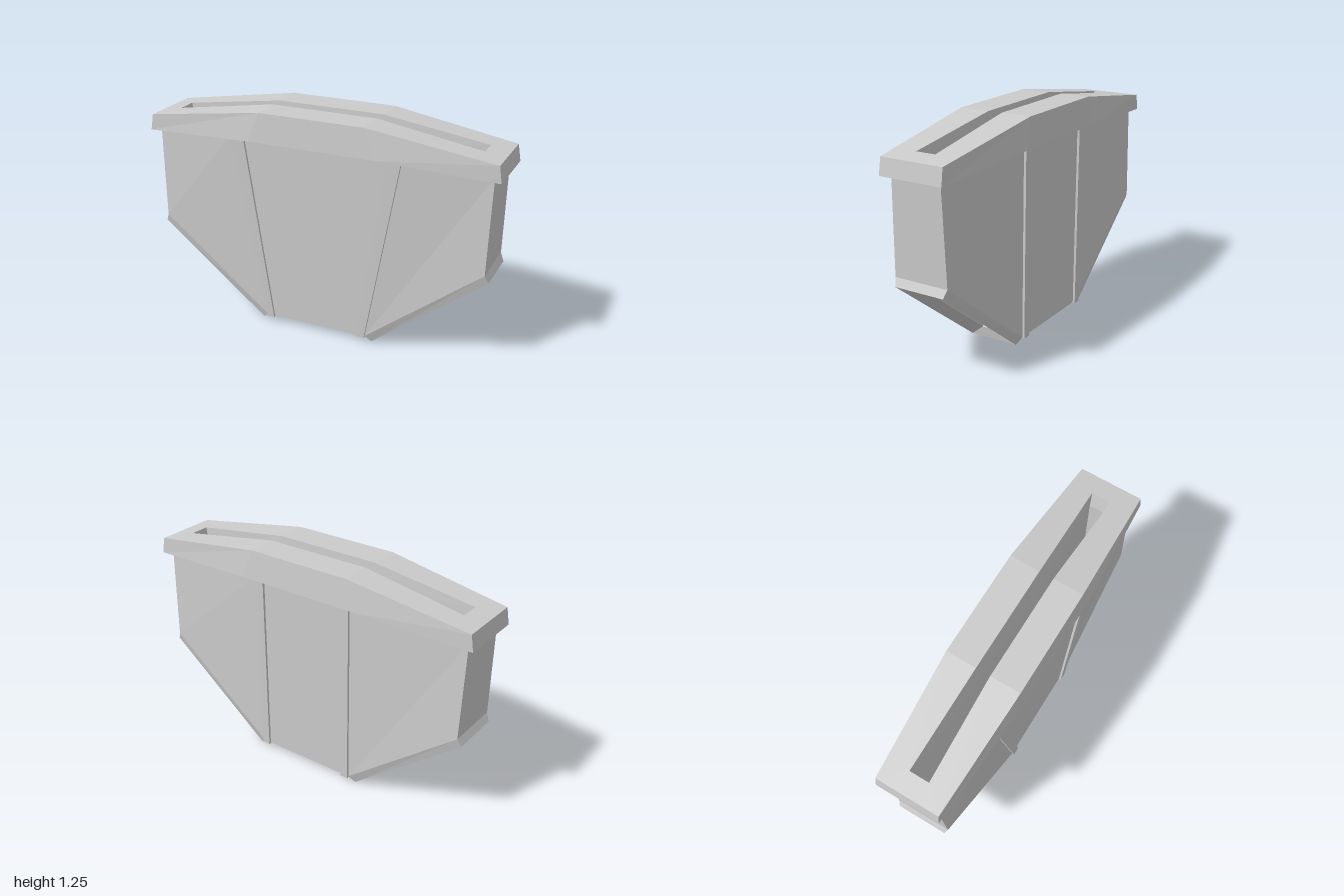
import * as THREE from 'three';

const material = new THREE.MeshStandardMaterial({
  color: 0xcccccc, flatShading: true, side: THREE.DoubleSide,
});

// Flat-shaded mesh from a list of convex polygons (corners counter-clockwise)
function polyMesh(name, polygons) {
  const pos = [];
  for (const p of polygons) {
    for (let i = 1; i < p.length - 1; i++) pos.push(...p[0], ...p[i], ...p[i + 1]);
  }
  const geo = new THREE.BufferGeometry();
  geo.setAttribute('position', new THREE.Float32BufferAttribute(pos, 3));
  geo.computeVertexNormals();
  const mesh = new THREE.Mesh(geo, material);
  mesh.name = name;
  return mesh;
}

// Quads joining successive rings of equal size
function loft(rings) {
  const quads = [];
  for (let r = 0; r < rings.length - 1; r++) {
    const a = rings[r], b = rings[r + 1];
    a.forEach((p, i) => {
      const j = (i + 1) % a.length;
      quads.push([p, a[j], b[j], b[i]]);
    });
  }
  return quads;
}

// Mirror a polygon in x and/or z, keeping its facing outward
function flip(poly, sx, sz) {
  const out = poly.map(([x, y, z]) => [x * sx, y, z * sz]);
  return sx * sz < 0 ? out.reverse() : out;
}

// Eight-cornered ring of the rim: ends at xe, bends at xk
function rimRing(xe, ye, ze, xk, yk, zk) {
  return [
    [xe, ye, ze], [xe, ye, -ze], [xk, yk, -zk], [-xk, yk, -zk],
    [-xe, ye, -ze], [-xe, ye, ze], [-xk, yk, zk], [xk, yk, zk],
  ];
}

function createRim() {
  const outerBottom = rimRing(1, 1.055, 0.18, 0.36, 1.09, 0.225);
  const outerTop = rimRing(0.985, 1.145, 0.178, 0.3, 1.25, 0.21);
  const slotTop = rimRing(0.875, 1.162, 0.055, 0.3, 1.25, 0.04);
  const slotBottom = rimRing(0.855, 1.063, 0.05, 0.34, 1.09, 0.03);
  return polyMesh('rim', loft([outerBottom, outerTop, slotTop, slotBottom, outerBottom]));
}

// Outer shell: flat middle panels, swept-back side panels, ends and underside
function createBody() {
  const polys = [[[-0.3, 0.035, -0.16], [0.3, 0.035, -0.16], [0.3, 0.035, 0.16], [-0.3, 0.035, 0.16]]];
  for (const [sz, bend] of [[1, 0.49], [-1, 0.3]]) {
    polys.push(flip([
      [-0.3, 0.035, 0.16], [0.3, 0.035, 0.16], [bend, 1.095, 0.172], [-bend, 1.095, 0.172],
    ], 1, sz));
    for (const sx of [1, -1]) {
      polys.push(flip([
        [0.3, 0.035, 0.16], [0.945, 0.54, 0.155], [0.957, 1.07, 0.142], [bend, 1.095, 0.172],
      ], sx, sz));
    }
  }
  for (const sx of [1, -1]) {
    polys.push(flip([
      [0.945, 0.54, 0.155], [0.945, 0.54, -0.155], [0.957, 1.07, -0.142], [0.957, 1.07, 0.142],
    ], sx, 1));
  }
  return polyMesh('body', polys);
}

// Hollow inside the body, joining the slot with both lower openings
function createCavity() {
  const z = 0.065;
  const A = [0.33, 0.082], B = [0.891, 0.524], C = [0.891, 1.065];
  const wall = [[-A[0], A[1], -z], [...A, -z], [...B, -z], [...C, -z], [-C[0], C[1], -z], [-B[0], B[1], -z]];
  const end = [[...B, -z], [...B, z], [...C, z], [...C, -z]];
  return polyMesh('cavity', [
    wall, flip(wall, 1, -1), end, flip(end, -1, 1),
    [[-A[0], A[1], z], [...A, z], [...A, -z], [-A[0], A[1], -z]],
  ]);
}

// Bevelled lip and funnel around a sloping lower opening
function createLip(sx) {
  const ring = ([xl, yl], [xh, yh], zl, zh = zl) => [[xl, yl, -zl], [xh, yh, -zh], [xh, yh, zh], [xl, yl, zl]];
  const rings = [
    ring([0.3, 0.035], [0.945, 0.54], 0.16, 0.155),
    ring([0.335, 0], [0.965, 0.497], 0.142),
    ring([0.345, 0.062], [0.907, 0.504], 0.065),
    ring([0.33, 0.082], [0.891, 0.524], 0.065),
  ];
  return polyMesh(sx > 0 ? 'leftOpeningLip' : 'rightOpeningLip', loft(rings).map((q) => flip(q, sx, 1)));
}

// Raised strip running up a panel; topIn and topOut are its upper edges
function createRib(name, topIn, topOut, sx, sz) {
  const ring = (x0, x1, y, z0, z1) => [[x1, y, z1], [x1, y, z0], [x0, y, z0], [x0, y, z1]];
  const low = ring(0.255, 0.3, 0.03, 0.14, 0.173);
  const high = ring(topIn, topOut, 1.09, 0.15, 0.186);
  const polys = [...loft([low, high]), [...low].reverse(), high];
  return polyMesh(name, polys.map((p) => flip(p, sx, sz)));
}

export function createModel() {
  const model = new THREE.Group();
  model.name = 'slottedHopper';
  model.add(createRim(), createBody(), createCavity());
  for (const sx of [1, -1]) {
    model.add(createLip(sx));
    // Front ribs splay outward, back ribs stand upright
    model.add(createRib('frontRib', 0.41, 0.49, sx, 1));
    model.add(createRib('backRib', 0.255, 0.3, sx, -1));
  }
  return model;
}
